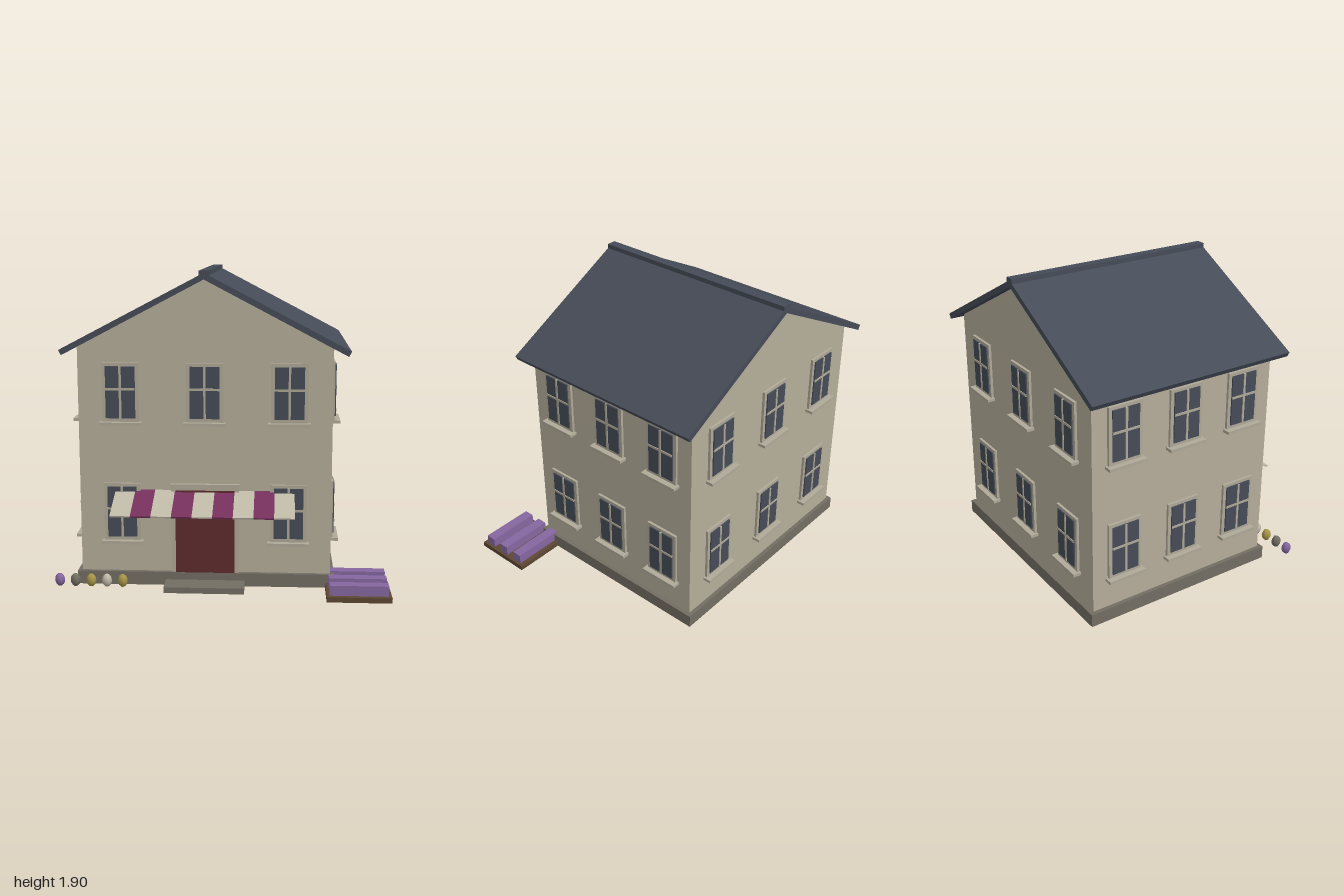
import * as THREE from 'three';

const mat = (name, color, side = THREE.FrontSide) => {
  const m = new THREE.MeshStandardMaterial({ color, side });
  m.name = name;
  return m;
};

export function createModel() {
  const wallMat = mat('wall plaster', 0xb5ad9a);
  const trimMat = mat('trim', 0xb0a998);
  const creamMat = mat('cream', 0xc0baa8);
  const slateMat = mat('slate', 0x454b57);
  const stoneMat = mat('stone', 0x736e63);
  const doorMat = mat('door red', 0x5e2b2d);
  const plumMat = mat('plum', 0x76305c);
  const violetMat = mat('violet', 0x8567a0);
  const woodMat = mat('dark wood', 0x5c4733);
  const goldMat = mat('gold', 0xa8964a);

  const model = new THREE.Group();
  model.name = 'house';
  const add = (parent, name, geometry, material) => {
    const mesh = new THREE.Mesh(geometry, material);
    mesh.name = name;
    parent.add(mesh);
    return mesh;
  };
  // Box given by its limits along each axis
  const box = (parent, name, material, x0, x1, y0, y1, z0, z1) => {
    const m = add(parent, name, new THREE.BoxGeometry(x1 - x0, y1 - y0, z1 - z0), material);
    m.position.set((x0 + x1) / 2, (y0 + y1) / 2, (z0 + z1) / 2);
    return m;
  };
  // Outline in x/y extruded between two z positions
  const slab = (parent, name, material, pts, z0, z1) => {
    const shape = new THREE.Shape(pts.map(([x, y]) => new THREE.Vector2(x, y)));
    const g = new THREE.ExtrudeGeometry(shape, { depth: z1 - z0, bevelEnabled: false });
    g.translate(0, 0, z0);
    return add(parent, name, g, material);
  };

  // House body, centred on its own origin
  const house = new THREE.Group();
  house.name = 'building';
  house.position.set(-0.105, 0, -0.107);
  model.add(house);
  const W = 0.755, D = 0.622;

  box(house, 'plinth', stoneMat, -W - 0.025, W + 0.025, 0, 0.082, -D - 0.025, D + 0.025);
  slab(house, 'walls', wallMat,
    [[-W, 0.082], [W, 0.082], [W, 1.455], [0, 1.852], [-W, 1.455]], -D, D);

  // Roof
  slab(house, 'roof', slateMat,
    [[0, 1.848], [0.838, 1.408], [0.855, 1.438], [0, 1.886], [-0.855, 1.438], [-0.838, 1.408]],
    -0.677, 0.677);
  box(house, 'ridgeCap', slateMat, -0.03, 0.03, 1.865, 1.898, -0.677, 0.677);

  // Window facing +z with its sill at y = 0 and the wall at z = 0
  const makeWindow = () => {
    const w = new THREE.Group();
    w.name = 'window';
    box(w, 'windowFrame', trimMat, -0.11, 0.11, 0.015, 0.37, -0.01, 0.016);
    box(w, 'windowGlass', slateMat, -0.088, 0.088, 0.04, 0.35, 0, 0.024);
    box(w, 'mullion', trimMat, -0.007, 0.007, 0.04, 0.35, 0, 0.028);
    box(w, 'crossbar', trimMat, -0.088, 0.088, 0.208, 0.222, 0, 0.028);
    box(w, 'windowSill', trimMat, -0.125, 0.125, 0, 0.018, -0.01, 0.05);
    return w;
  };
  // Distance to wall, spacing and turn of each side
  const sides = [
    { name: 'front', dist: D, step: 0.5, turn: 0 },
    { name: 'left', dist: W, step: 0.412, turn: Math.PI / 2 },
    { name: 'back', dist: D, step: 0.5, turn: Math.PI },
    { name: 'right', dist: W, step: 0.412, turn: -Math.PI / 2 },
  ];
  for (const { name, dist, step, turn } of sides) {
    const side = new THREE.Group();
    side.name = name + 'Windows';
    side.rotation.y = turn;
    house.add(side);
    for (const y of [0.262, 0.99]) for (const i of [-1, 0, 1]) {
      if (name === 'front' && y < 0.5 && i === 0) continue; // doorway
      const w = makeWindow();
      w.position.set(i * step, y, dist);
      side.add(w);
    }
  }

  // Doorway and step
  box(house, 'door', doorMat, -0.178, 0.178, 0.082, 0.595, D - 0.01, D + 0.024);
  for (const s of [-1, 1])
    box(house, 'doorJamb', trimMat, s * 0.19 - 0.013, s * 0.19 + 0.013, 0.082, 0.595, D - 0.01, D + 0.018);
  box(house, 'doorLintel', trimMat, -0.207, 0.207, 0.595, 0.632, D - 0.01, D + 0.025);
  box(house, 'doorStep', stoneMat, -0.24, 0.24, 0, 0.036, D, D + 0.165);

  // Striped sloping awning
  const awning = new THREE.Group();
  awning.name = 'awning';
  awning.position.set(-0.107, 0.539, 0.64);
  awning.rotation.x = Math.atan2(0.095, 0.245);
  model.add(awning);
  const stripe = 1.075 / 9;
  for (let i = 0; i < 9; i++) {
    const x = (i - 4.5) * stripe;
    box(awning, 'awningStripe', i % 2 ? plumMat : creamMat, x, x + stripe, -0.005, 0.005, -0.133, 0.133);
  }

  // Row of small lanterns
  const lanternGeo = new THREE.SphereGeometry(0.03, 6, 8);
  lanternGeo.scale(1, 1.33, 1);
  [violetMat, stoneMat, goldMat, creamMat, goldMat].forEach((m, i) => {
    add(model, 'lantern', lanternGeo, m).position.set(-0.967 + i * 0.0943, 0.07, 0.668);
  });

  // Low pallet with three long blocks
  const pallet = new THREE.Group();
  pallet.name = 'pallet';
  model.add(pallet);
  box(pallet, 'palletBase', woodMat, 0.62, 1, 0, 0.031, 0.405, 0.782);
  for (const z of [0.467, 0.595, 0.721])
    box(pallet, 'palletBlock', violetMat, 0.637, 0.982, 0.031, 0.092, z - 0.033, z + 0.033);

  return model;
}
